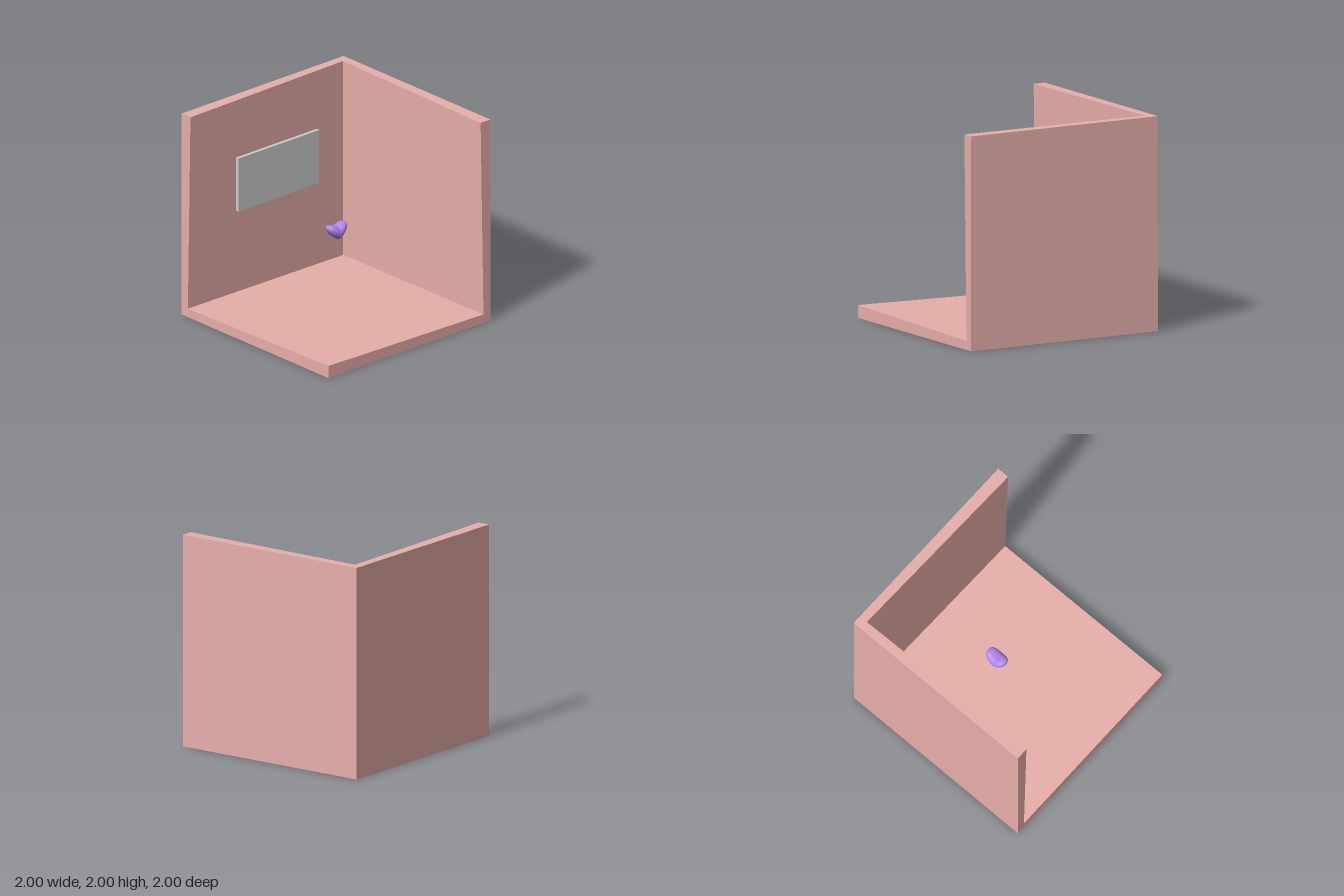
import * as THREE from 'three';
import { mergeVertices } from 'three/addons/utils/BufferGeometryUtils.js';
import { RoundedBoxGeometry } from 'three/addons/geometries/RoundedBoxGeometry.js';

const WALL_SIDE = [1, -1, -1];           // the walled side of each axis: x, y, z
const THICKNESS = [0, 0.12, 0.085, 0.05]; // thinner where more walls meet

function addMesh(parent, name, geometry, color) {
  const mesh = new THREE.Mesh(geometry, new THREE.MeshStandardMaterial({ color }));
  mesh.name = name;
  parent.add(mesh);
  return mesh;
}

// A mitred slab: full square outside, inner face drawn in towards the corner
function slab(axis) {
  const geometry = new THREE.BoxGeometry(2, 2, 2);
  const pos = geometry.attributes.position;
  for (let i = 0; i < pos.count; i++) {
    const s = [pos.getX(i), pos.getY(i), pos.getZ(i)];
    if (s[axis] === WALL_SIDE[axis]) continue;
    s[axis] = WALL_SIDE[axis];
    const walls = s.filter((v, k) => v === WALL_SIDE[k]).length;
    const p = s.map((v, k) => (v === WALL_SIDE[k] ? v * (1 - THICKNESS[walls]) : v));
    pos.setXYZ(i, ...p);
  }
  geometry.computeVertexNormals();
  return geometry.translate(0, 1, 0);
}

// A sphere bent upwards at both sides, with a full, squarish depth
function heartGeometry() {
  let geometry = new THREE.SphereGeometry(1, 48, 32).rotateX(Math.PI / 2);
  geometry.deleteAttribute('uv');
  geometry.deleteAttribute('normal');
  geometry = mergeVertices(geometry);
  const pos = geometry.attributes.position;
  for (let i = 0; i < pos.count; i++) {
    const x = pos.getX(i) * 0.108;
    const z = pos.getZ(i);
    pos.setXYZ(i, x, pos.getY(i) * 0.0615 + 0.6 * Math.abs(x),
      Math.sign(z) * Math.pow(Math.abs(z), 0.75) * 0.073);
  }
  geometry.computeVertexNormals();
  return geometry;
}

export function createModel() {
  const model = new THREE.Group();
  model.name = 'roomCorner';

  // Floor and two walls, open at the front, top and one side
  const room = new THREE.Group();
  room.name = 'room';
  model.add(room);
  ['leftWall', 'floor', 'backWall'].forEach((name, axis) => {
    addMesh(room, name, slab(axis), 0xe8afaa);
  });

  // Thin screen on the back wall
  addMesh(model, 'wallPanel', new RoundedBoxGeometry(1, 0.535, 0.034, 2, 0.004), 0xcccccc)
    .position.set(0.07, 1.168, -0.872);

  // Small floating heart
  addMesh(model, 'heart', heartGeometry(), 0xb085ee).position.set(0.07, 0.8035, -0.073);

  return model;
}
